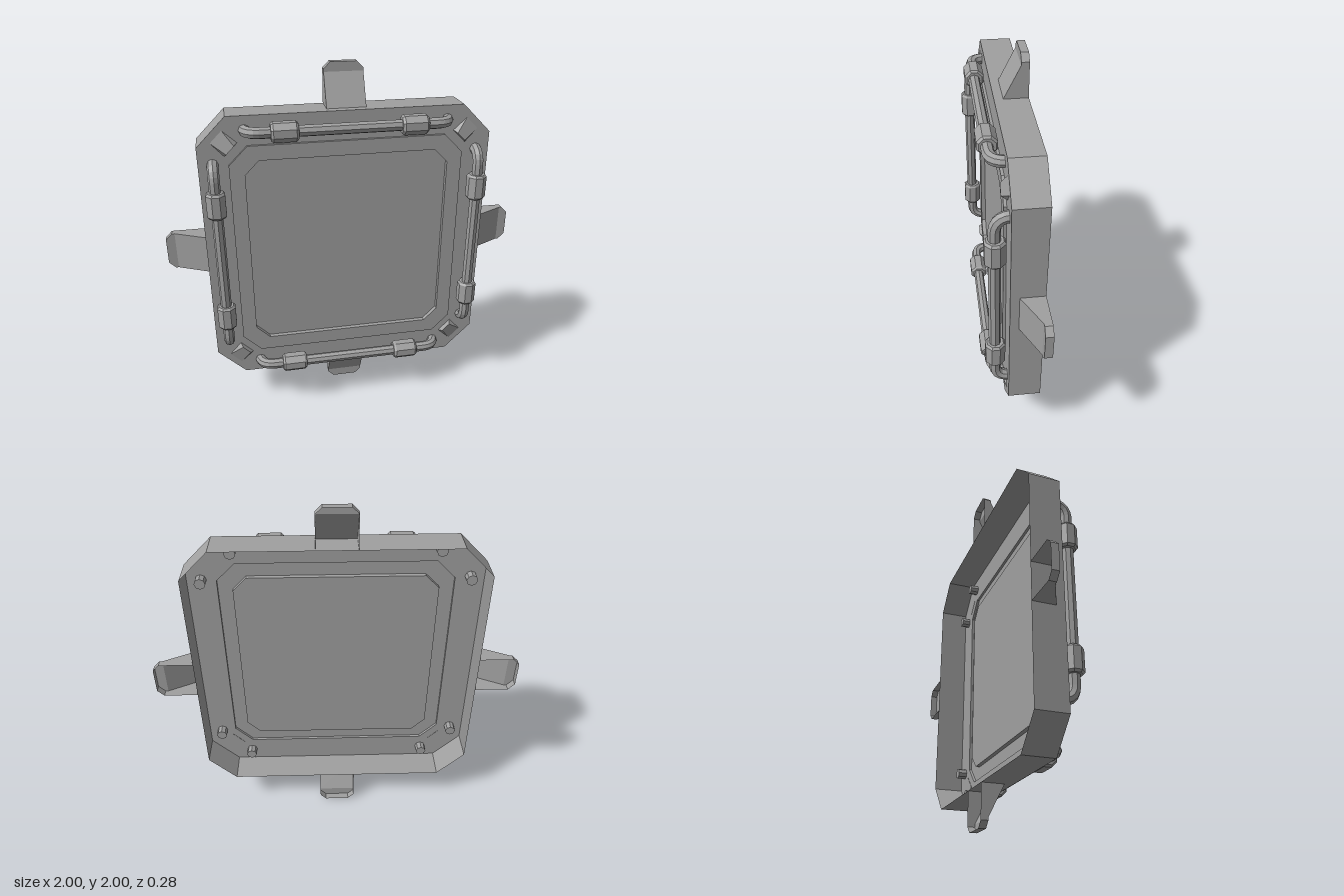
import * as THREE from 'three';
import { ConvexGeometry } from 'three/addons/geometries/ConvexGeometry.js';

const grey = new THREE.MeshStandardMaterial({ color: 0xa0a0a0, side: THREE.DoubleSide, flatShading: true });
grey.name = 'grey metal';

const V = (x, y, z) => new THREE.Vector3(x, y, z);

function mesh(name, geometry) {
  const m = new THREE.Mesh(geometry, grey);
  m.name = name;
  return m;
}

function fromTriangles(points) {
  const g = new THREE.BufferGeometry().setFromPoints(points);
  g.computeVertexNormals();
  return g;
}

const quad = (out, a, b, c, d) => out.push(a, b, c, a, c, d);

// Square with cut corners, counter-clockwise seen from the front
function octagon(half, cut, z) {
  const s = half - cut;
  return [[half, -s], [half, s], [s, half], [-s, half], [-half, s], [-half, -s], [-s, -half], [s, -half]]
    .map(([x, y]) => V(x, y, z));
}

// Pressed sheet panel, open at the back: rim, face, raised border, sunken centre
function panelGeometry() {
  const rings = [
    octagon(0.78, 0.155, -0.14),
    octagon(0.78, 0.155, 0.03),
    octagon(0.625, 0.1, 0.03),
    octagon(0.625, 0.1, 0.045),
    octagon(0.545, 0.075, 0.045),
    octagon(0.545, 0.075, 0.02),
  ];
  const out = [];
  for (let r = 0; r < rings.length - 1; r++) {
    const a = rings[r], b = rings[r + 1];
    for (let i = 0; i < 8; i++) {
      const j = (i + 1) % 8;
      quad(out, a[i], a[j], b[j], b[i]);
    }
  }
  const cap = rings[rings.length - 1];
  for (let i = 1; i < 7; i++) out.push(cap[0], cap[i], cap[i + 1]);
  return fromTriangles(out);
}

// Hollow sloping tab with a clipped tip
function tabGeometry() {
  const side = [V(0.105, 0.78, -0.015), V(0.105, 0.95, -0.1), V(0.105, 0.965, -0.1), V(0.07, 1, -0.1)];
  const mirror = side.map((p) => V(-p.x, p.y, p.z));
  const out = [];
  for (let i = 0; i < 3; i++) quad(out, side[i], side[i + 1], mirror[i + 1], mirror[i]);
  const edge = [...side, ...mirror.reverse()];
  const back = edge.map((p) => V(p.x, p.y, -0.14));
  for (let i = 0; i < edge.length - 1; i++) quad(out, back[i], back[i + 1], edge[i + 1], edge[i]);
  return fromTriangles(out);
}

// Bent bar whose ends pass through the panel
function handleBarGeometry() {
  const x = 0.535, y = 0.705, z = 0.095, r = 0.08;
  const path = new THREE.CurvePath();
  const bend = (a, b, c) => path.add(new THREE.QuadraticBezierCurve3(a, b, c));
  path.add(new THREE.LineCurve3(V(-x, y, -0.02), V(-x, y, z - r)));
  bend(V(-x, y, z - r), V(-x, y, z), V(-x + r, y, z));
  path.add(new THREE.LineCurve3(V(-x + r, y, z), V(x - r, y, z)));
  bend(V(x - r, y, z), V(x, y, z), V(x, y, z - r));
  path.add(new THREE.LineCurve3(V(x, y, z - r), V(x, y, -0.02)));
  return new THREE.TubeGeometry(path, 56, 0.03, 8, false);
}

// Eight-sided grip with bevelled ends
function gripGeometry() {
  const profile = [[0.028, -0.07], [0.044, -0.07], [0.054, -0.058], [0.054, 0.058], [0.044, 0.07], [0.028, 0.07]]
    .map(([r, h]) => new THREE.Vector2(r, h));
  return new THREE.LatheGeometry(profile, 8, Math.PI / 8).rotateZ(Math.PI / 2);
}

// Small ramp at a corner, rising toward the centre
function cornerWedgeGeometry() {
  const points = [];
  for (const s of [-1, 1]) {
    points.push(V(s * 0.045, 0.965, 0.028), V(s * 0.05, 0.86, 0.028), V(s * 0.03, 0.865, 0.058));
  }
  return new ConvexGeometry(points).rotateZ(-Math.PI / 4);
}

export function createModel() {
  const model = new THREE.Group();
  model.name = 'hatchPanel';

  const body = new THREE.Group();
  body.name = 'panelAssembly';
  body.position.y = 1;
  model.add(body);
  body.add(mesh('panel', panelGeometry()));

  const tab = tabGeometry();
  const bar = handleBarGeometry();
  const grip = gripGeometry();
  const wedge = cornerWedgeGeometry();
  const endCap = new THREE.CircleGeometry(0.03, 8).rotateY(Math.PI);

  // The same set of fittings on each of the four sides
  ['top', 'right', 'bottom', 'left'].forEach((name, i) => {
    const side = new THREE.Group();
    side.name = name + 'Fittings';
    side.rotation.z = i * Math.PI / 2;
    side.add(mesh('tab', tab), mesh('handleBar', bar), mesh('cornerWedge', wedge));
    for (const s of [-1, 1]) {
      const g = mesh('handleGrip', grip);
      g.position.set(s * 0.337, 0.705, 0.093);
      const c = mesh('handleEnd', endCap);
      c.position.set(s * 0.535, 0.705, -0.02);
      side.add(g, c);
    }
    body.add(side);
  });

  return model;
}
